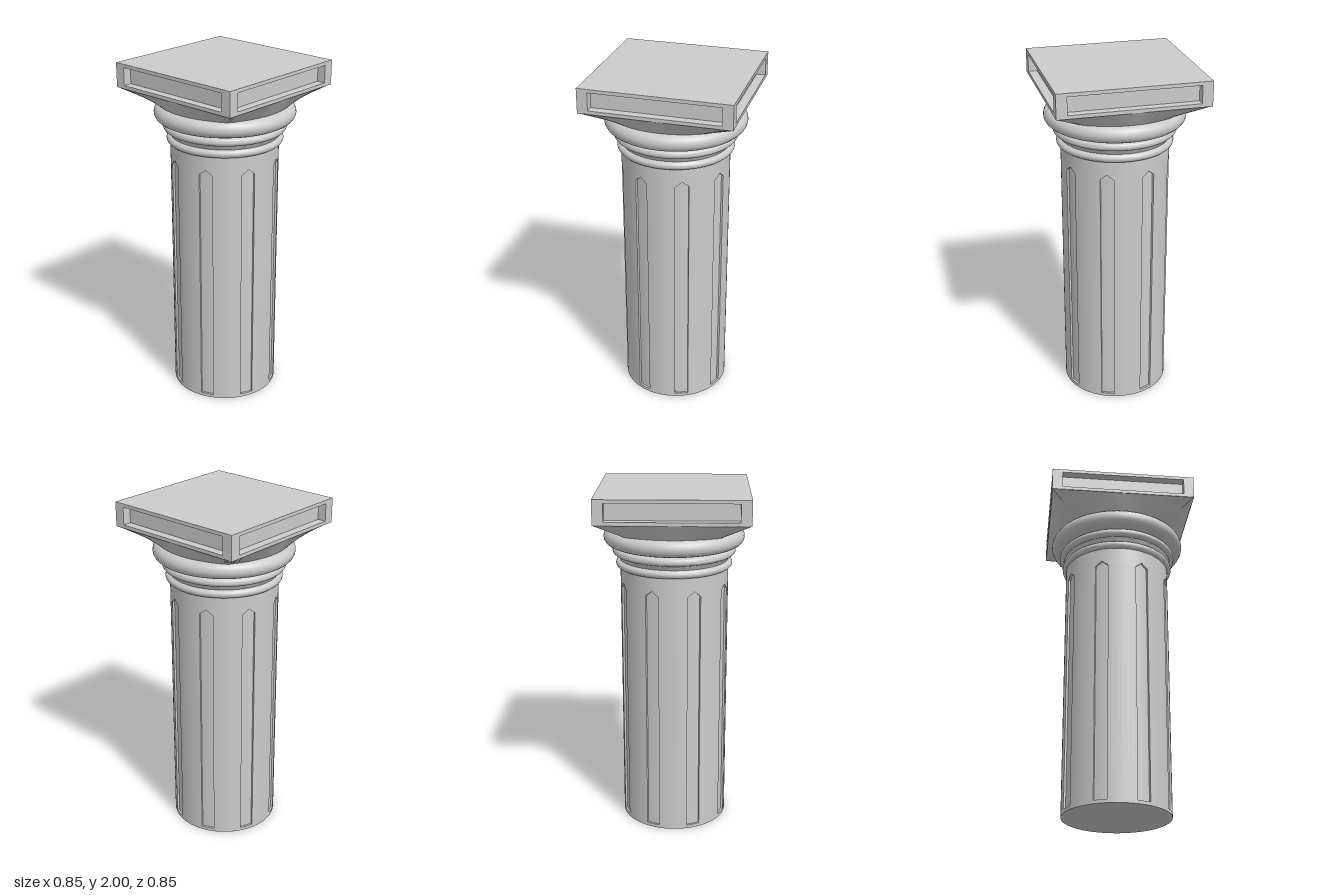
import * as THREE from 'three';
import { toCreasedNormals } from 'three/addons/utils/BufferGeometryUtils.js';

const material = new THREE.MeshStandardMaterial({ color: 0xcccccc });

// Collects quads (corners counter-clockwise from outside) into one geometry
function quadBuilder() {
  const positions = [];
  return {
    quad(a, b, c, d) {
      for (const p of [a, b, c, a, c, d]) positions.push(...p);
    },
    build(crease) {
      const g = new THREE.BufferGeometry();
      g.setAttribute('position', new THREE.Float32BufferAttribute(positions, 3));
      return toCreasedNormals(g, crease);
    },
  };
}

function addMesh(parent, name, geometry, x = 0, y = 0, z = 0) {
  const mesh = new THREE.Mesh(geometry, material);
  mesh.name = name;
  mesh.position.set(x, y, z);
  parent.add(mesh);
  return mesh;
}

const polar = (r, a, y) => [r * Math.sin(a), y, r * Math.cos(a)];

// Round shaft with eight shallow, pointed flutes
function shaftGeometry() {
  const R = 0.31, depth = 0.012, height = 1.56, low = 0.02, shoulder = 1.435, tip = 1.465;
  const half = THREE.MathUtils.degToRad(7.2), sector = Math.PI / 4;
  const fluteSteps = 4, ribSteps = 6;
  const b = quadBuilder();
  const grooveTop = (t) => shoulder + (tip - shoulder) * (1 - Math.abs(t));

  // One vertical strip between two angles; the middle band is sunk in a flute
  function strip(a0, a1, t0, t1, sunk) {
    const y0 = grooveTop(t0), y1 = grooveTop(t1), r = sunk ? R - depth : R;
    const band = (rr, p0, p1, q0, q1) =>
      b.quad(polar(rr, a0, p0), polar(rr, a1, p1), polar(rr, a1, q1), polar(rr, a0, q0));
    band(R, 0, 0, low, low);
    band(r, low, low, y0, y1);
    band(R, y0, y1, height, height);
    if (!sunk) return;
    b.quad(polar(R, a0, low), polar(R, a1, low), polar(r, a1, low), polar(r, a0, low));
    b.quad(polar(r, a0, y0), polar(r, a1, y1), polar(R, a1, y1), polar(R, a0, y0));
  }

  for (let k = 0; k < 8; k++) {
    const mid = (k + 0.5) * sector, start = mid - half, end = mid + half;
    for (let i = 0; i < fluteSteps; i++) {
      const t0 = -1 + (2 * i) / fluteSteps, t1 = -1 + (2 * (i + 1)) / fluteSteps;
      strip(mid + t0 * half, mid + t1 * half, t0, t1, true);
    }
    const ribStep = (sector - 2 * half) / ribSteps;
    for (let i = 0; i < ribSteps; i++) {
      strip(end + i * ribStep, end + (i + 1) * ribStep, 1, 1, false);
    }
    // flute side walls
    const r = R - depth;
    b.quad(polar(R, start, low), polar(r, start, low), polar(r, start, shoulder), polar(R, start, shoulder));
    b.quad(polar(r, end, low), polar(R, end, low), polar(R, end, shoulder), polar(r, end, shoulder));
  }
  return b.build(0.5);
}

// Three stacked rings joined by narrow necks
function ringsGeometry() {
  const points = [new THREE.Vector2(0.3, 1.54)];
  const rings = [
    { y: 1.567, h: 0.023, inner: 0.31, outer: 0.333 },
    { y: 1.641, h: 0.024, inner: 0.325, outer: 0.352 },
    { y: 1.722, h: 0.048, inner: 0.352, outer: 0.402 },
  ];
  for (const { y, h, inner, outer } of rings) {
    for (let i = 0; i <= 10; i++) {
      const a = -Math.PI / 2 + (Math.PI * i) / 10;
      points.push(new THREE.Vector2(inner + (outer - inner) * Math.cos(a), y + h * Math.sin(a)));
    }
  }
  points.push(new THREE.Vector2(0.3, 1.77));
  return toCreasedNormals(new THREE.LatheGeometry(points, 72).toNonIndexed(), 0.9);
}

// Flare that blends from a circle up to the square slab
function flareGeometry() {
  const b = quadBuilder(), segments = 64, levels = 6;
  const point = (i, j) => {
    const a = (i / segments) * Math.PI * 2, t = j / levels;
    const s = Math.sin(a), c = Math.cos(a);
    const square = 0.42 / Math.max(Math.abs(s), Math.abs(c));
    return polar(THREE.MathUtils.lerp(0.345, square, t), a, 1.75 + 0.11 * t);
  };
  for (let j = 0; j < levels; j++) {
    for (let i = 0; i < segments; i++) {
      b.quad(point(i, j), point(i + 1, j), point(i + 1, j + 1), point(i, j + 1));
    }
  }
  return b.build(0.5);
}

// Square slab with a sunken panel on each side
function createSlab() {
  const slab = new THREE.Group();
  slab.name = 'topSlab';
  const half = 0.423, rim = 0.06, sunk = 0.05;
  addMesh(slab, 'slabCore', new THREE.BoxGeometry(2 * (half - sunk), 0.12, 2 * (half - sunk)), 0, 1.93, 0);
  for (const [name, y] of [['slabBottomRim', 1.87], ['slabTopRim', 1.99]]) {
    addMesh(slab, name, new THREE.BoxGeometry(2 * half, 0.02, 2 * half), 0, y, 0);
  }
  for (const x of [-1, 1]) {
    for (const z of [-1, 1]) {
      const p = half - rim / 2;
      addMesh(slab, 'slabCorner', new THREE.BoxGeometry(rim, 0.1, rim), x * p, 1.93, z * p);
    }
  }
  return slab;
}

export function createModel() {
  const column = new THREE.Group();
  column.name = 'column';
  addMesh(column, 'flutedShaft', shaftGeometry(), 0.003, 0, 0.002);
  const base = addMesh(column, 'shaftUnderside', new THREE.CircleGeometry(0.31, 80), 0.003, 0, 0.002);
  base.rotation.x = Math.PI / 2;
  addMesh(column, 'neckRings', ringsGeometry(), 0.004, 0, 0);
  addMesh(column, 'capitalFlare', flareGeometry());
  column.add(createSlab());
  return column;
}
